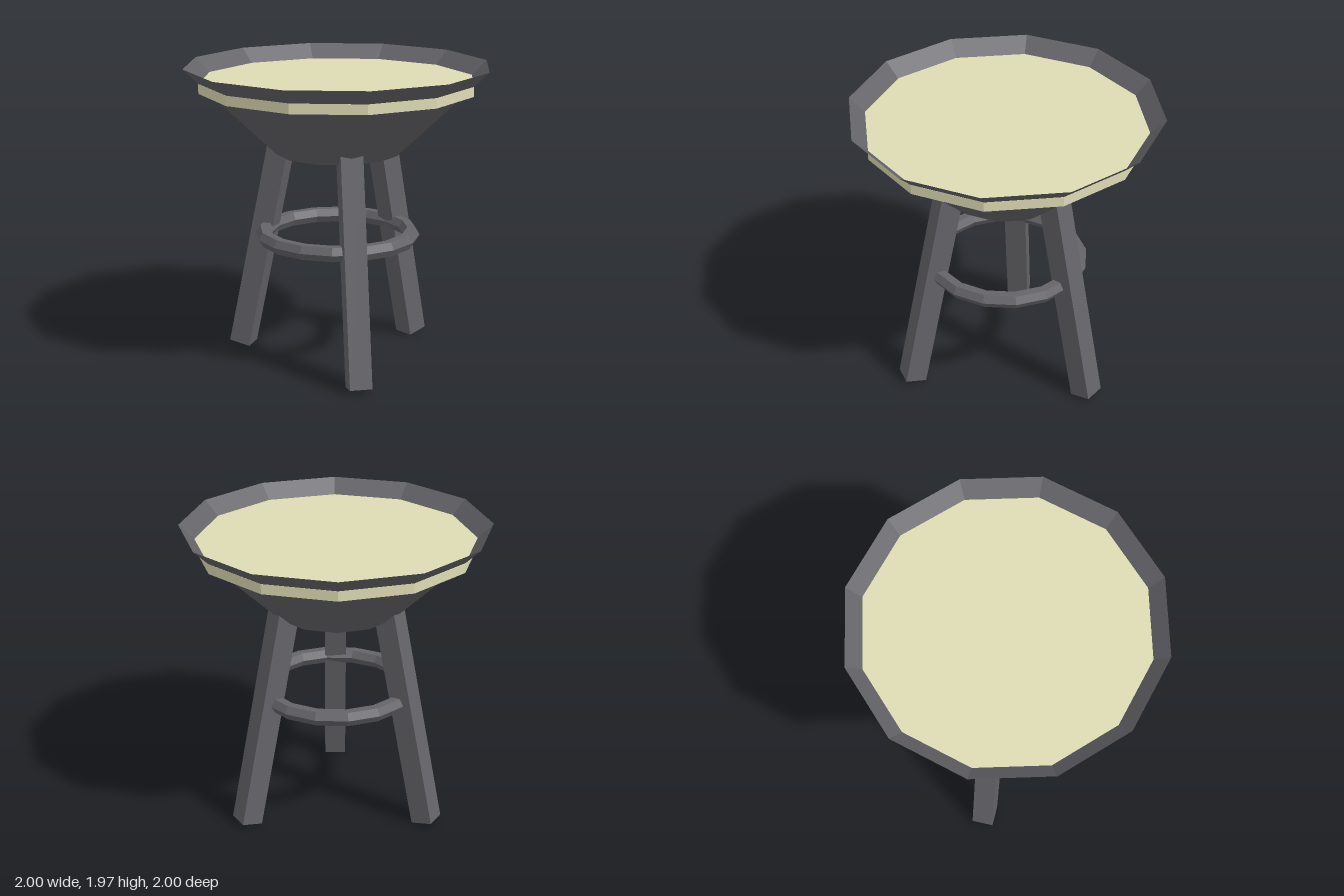
import * as THREE from 'three';

export function createModel() {
  const dark = new THREE.MeshStandardMaterial({ color: 0x656469, flatShading: true, side: THREE.DoubleSide });
  dark.name = 'charcoal';
  const cream = new THREE.MeshStandardMaterial({ color: 0xdedcb4, flatShading: true });
  cream.name = 'cream';

  const model = new THREE.Group();
  model.name = 'stool';
  const add = (name, geometry, material, parent = model) => {
    const mesh = new THREE.Mesh(geometry, material);
    mesh.name = name;
    parent.add(mesh);
    return mesh;
  };

  // Thin open bowl with a flat bottom
  const profile = [[0, 1.4], [0.405, 1.4], [1, 1.975]].map(([r, y]) => new THREE.Vector2(r, y));
  add('bowl', new THREE.LatheGeometry(profile, 12), dark);

  // Seat disc whose edge shows through the bowl wall
  add('seat', new THREE.CylinderGeometry(0.903, 0.903, 0.064, 12), cream).position.y = 1.848;

  // Three splayed square legs: one at the back, two at the front
  const tilt = 0.207, length = 1.6, width = 0.145;
  const legGeometry = new THREE.BoxGeometry(width, length, width).translate(0, length / 2, 0);
  ['backLeg', 'leftLeg', 'rightLeg'].forEach((name, i) => {
    const pivot = new THREE.Group();
    pivot.name = name;
    pivot.rotation.y = Math.PI + i * Math.PI * 2 / 3 * -1;
    const leg = add(name + 'Post', legGeometry, dark, pivot);
    leg.position.set(0, 0.015, 0.69);
    leg.rotation.x = -tilt;
    model.add(pivot);
  });

  // Foot ring with a six-sided section
  const ring = add('footRing', new THREE.TorusGeometry(0.49, 0.054, 6, 16), dark);
  ring.rotation.x = Math.PI / 2;
  ring.position.y = 0.847;

  return model;
}
